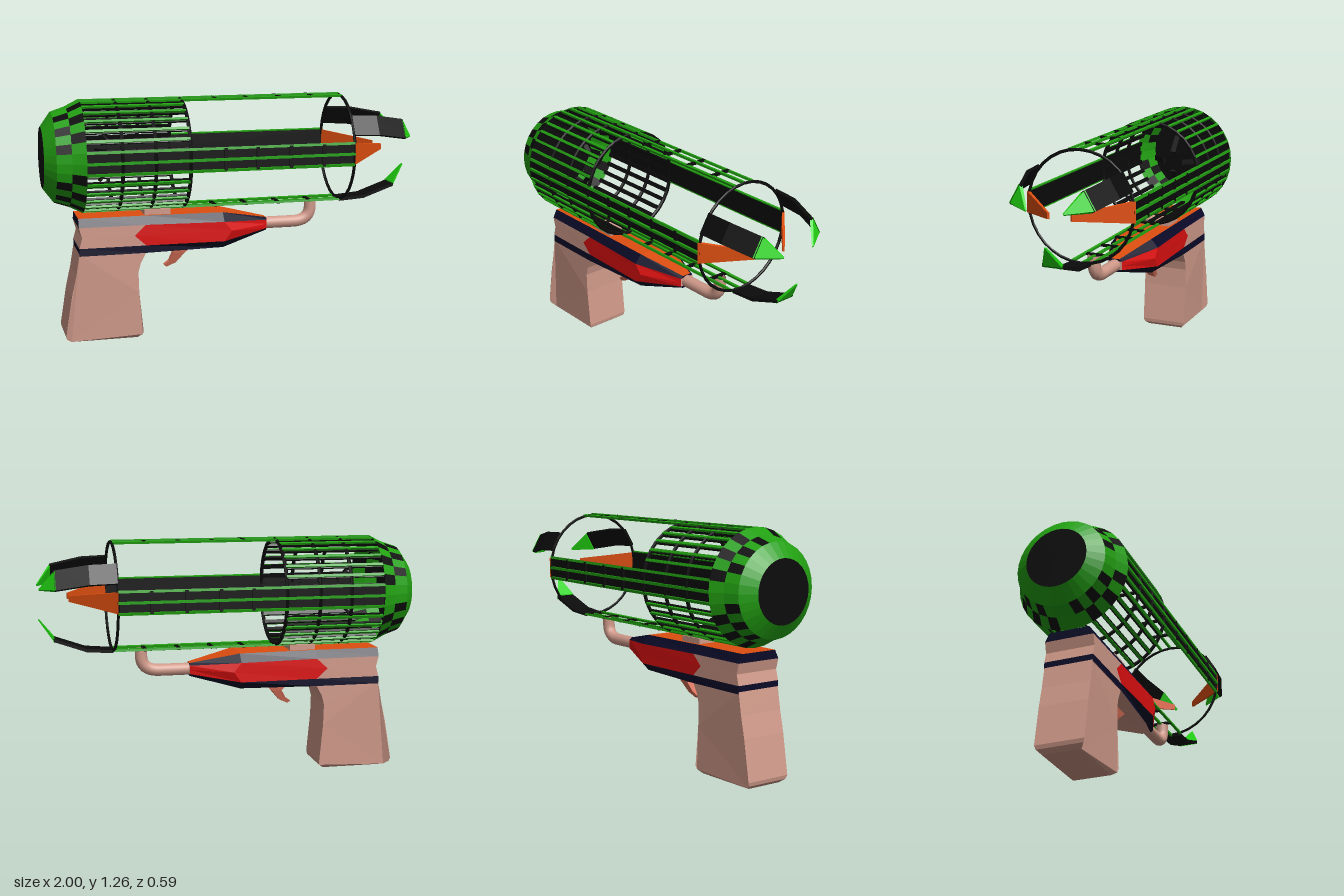
import * as THREE from 'three';

const mat = (color, flat = true) => new THREE.MeshStandardMaterial({ color, flatShading: flat, side: THREE.DoubleSide });
const GREEN = mat(0x22a012), LIME = mat(0x22d512), BLACK = mat(0x0b0b0b), ORANGE = mat(0xdd4e10);
const RED = mat(0xdd1010), NAVY = mat(0x0a0a28), PINK = mat(0xd09a8a), SALMON = mat(0xd87058);
const PINK_SMOOTH = mat(0xd09a8a, false);

const R = 0.295, SIDES = 32, STEP = (Math.PI * 2) / SIDES;

function add(parent, name, geometry, material) {
  const mesh = new THREE.Mesh(geometry, material);
  mesh.name = name;
  parent.add(mesh);
  return mesh;
}

// Flat-faced geometry from a list of quads (four corner arrays each)
function quadGeometry(quads) {
  const pos = [];
  for (const [a, b, c, d] of quads) pos.push(...a, ...b, ...c, ...a, ...c, ...d);
  const g = new THREE.BufferGeometry();
  g.setAttribute('position', new THREE.Float32BufferAttribute(pos, 3));
  g.computeVertexNormals();
  return g;
}

// Side profile in x/y, given a z half-width that may vary over the profile
function profileGeometry(points, halfWidth, bevel = 0) {
  const shape = new THREE.Shape(points.map(p => new THREE.Vector2(...p)));
  const g = new THREE.ExtrudeGeometry(shape, { depth: 2, steps: 1, bevelEnabled: false, curveSegments: 6 });
  const p = g.attributes.position;
  for (let i = 0; i < p.count; i++) {
    p.setZ(i, (p.getZ(i) - 1) * halfWidth(p.getX(i), p.getY(i)));
  }
  g.computeVertexNormals();
  return g;
}

// Group turned about the barrel axis, so parts can be built at the top
function spoke(parent, name, angle) {
  const g = new THREE.Group();
  g.name = name;
  g.rotation.x = angle;
  parent.add(g);
  return g;
}

function bar(parent, name, x0, x1, y, h, w, material) {
  const m = add(parent, name, new THREE.BoxGeometry(x1 - x0, h, w), material);
  m.position.set((x0 + x1) / 2, y, 0);
}

function makeDome(parent) {
  const profile = [[-1, 0.16], [-0.945, 0.235], [-0.87, 0.26], [-0.8, R]];
  const at = ([x, r], k) => [x, r * Math.cos(k * STEP), r * Math.sin(k * STEP)];
  const green = [], black = [];
  for (let b = 0; b < 3; b++) {
    for (let k = 0; k < SIDES; k++) {
      const onRail = k % 8 === 0 || k % 8 === 7;
      const isGreen = b === 0 || onRail || (k + b) % 2 === 0;
      (isGreen ? green : black).push([at(profile[b], k), at(profile[b], k + 1), at(profile[b + 1], k + 1), at(profile[b + 1], k)]);
    }
  }
  add(parent, 'domeGreenPanels', quadGeometry(green), GREEN);
  add(parent, 'domeBlackPanels', quadGeometry(black), BLACK);
  for (const [x, r] of [[-1, 0.16], [-0.935, 0.235]]) {
    const disc = add(parent, 'domeDisc', new THREE.CircleGeometry(r, SIDES), BLACK);
    disc.rotation.y = -Math.PI / 2;
    disc.position.x = x;
  }
}

function makeCage(parent) {
  // Lengthwise bars; three at each quarter run on to the front ring
  for (let k = 0; k < SIDES; k++) {
    const s = spoke(parent, 'cageBar', k * STEP);
    const long = [0, 1, 7].includes(k % 8);
    bar(s, 'barOuter', -0.8, long ? 0.61 : -0.27, R - 0.006, 0.012, 0.014, GREEN);
    bar(s, 'barInner', -0.8, -0.27, R - 0.017, 0.012, 0.022, BLACK);
  }
  // Hoops round the cage and across the long rails
  const hoop = (x, tube) => {
    const t = add(parent, 'cageHoop', new THREE.TorusGeometry(R - 0.01, tube, 6, SIDES), BLACK);
    t.rotation.y = Math.PI / 2;
    t.position.x = x;
  };
  [-0.62, -0.45, -0.27].forEach(x => hoop(x, 0.01));
  hoop(0.61, 0.008);
  for (let q = 0; q < 4; q++) {
    const rail = spoke(parent, 'longRail', (q * Math.PI) / 2);
    for (const x of [-0.09, 0.08, 0.26, 0.44]) bar(rail, 'railTie', x - 0.009, x + 0.009, R - 0.01, 0.012, 0.116, BLACK);
    if (q % 2) bar(rail, 'railBacking', -0.8, 0.61, R - 0.015, 0.006, 0.112, BLACK);
    // Short prongs inside the cage
    const prong = spoke(parent, 'innerProng', (q * Math.PI) / 2);
    const p = add(prong, 'prong', new THREE.BoxGeometry(0.11, 0.012, 0.03), BLACK);
    p.position.set(-0.665, 0.095, 0);
    p.rotation.z = -0.85;
  }
}

function makeClaws(parent) {
  const arm = [[0.61, 0.295], [0.75, 0.285], [0.92, 0.225], [0.92, 0.208], [0.75, 0.268], [0.61, 0.28]];
  const tip = [[0.915, 0.23], [0.995, 0.115], [0.99, 0.11], [0.915, 0.205]];
  for (const a of [Math.PI, Math.PI / 3, -Math.PI / 3]) {
    const claw = spoke(parent, 'claw', a);
    add(claw, 'clawArm', profileGeometry(arm, () => 0.055), BLACK);
    add(claw, 'clawTip', profileGeometry(tip, x => 0.002 + 0.053 * Math.max(0, (0.995 - x) / 0.08)), LIME);
  }
  // Tapered plates pointing inward from the side rails
  const plate = [[0.61, 0.295], [0.84, 0.065], [0.835, 0.055], [0.61, 0.275]];
  for (const a of [Math.PI / 2, -Math.PI / 2]) {
    add(spoke(parent, 'sidePlate', a), 'plate', profileGeometry(plate, x => 0.055 - 0.04 * (x - 0.61) / 0.23), ORANGE);
  }
}

function makeBody(parent) {
  // Stations: edge x, middle x, five heights top to bottom, three half-widths
  const stations = [
    [-0.83, -0.815, [0.66, 0.615, 0.56, 0.505, 0.465], [0, 0, 0]],
    [-0.83, -0.815, [0.66, 0.615, 0.56, 0.505, 0.465], [0.105, 0.128, 0.13]],
    [-0.48, -0.54, [0.66, 0.615, 0.56, 0.505, 0.465], [0.105, 0.13, 0.13]],
    [-0.06, -0.02, [0.655, 0.61, 0.56, 0.505, 0.465], [0.1, 0.138, 0.1]],
    [0.2, 0.2, [0.6, 0.588, 0.565, 0.542, 0.53], [0.025, 0.04, 0.025]],
    [0.2, 0.2, [0.6, 0.588, 0.565, 0.542, 0.53], [0, 0, 0]],
  ].map(([xe, xm, y, [wt, wm, wb]]) => [
    [xe, y[0], 0], [xe, y[0], wt], [xe, y[1], wm], [xm, y[2], wm], [xe, y[3], wm], [xe, y[4], wb], [xe, y[4], 0],
  ]);
  const bands = [['bodyTop', ORANGE], ['upperStripe', NAVY], ['bodySide', PINK], ['bodySide', PINK], ['lowerStripe', NAVY], ['bodyUnderside', PINK]];
  bands.forEach(([name, material], r) => {
    const plain = [], inset = [];
    for (let s = 0; s < stations.length - 1; s++) {
      const a = [stations[s][r], stations[s][r + 1], stations[s + 1][r + 1], stations[s + 1][r]];
      const mirrored = a.map(([x, y, z]) => [x, y, -z]).reverse();
      const list = (r === 2 || r === 3) && (s === 2 || s === 3) ? inset : plain;
      list.push(a, mirrored);
    }
    add(parent, name, quadGeometry(plain), material);
    if (inset.length) add(parent, 'redSidePanel', quadGeometry(inset), RED);
  });

  // Pad joining body and cage
  const pad = add(parent, 'mountPad', new THREE.BoxGeometry(0.14, 0.04, 0.18), PINK);
  pad.position.set(-0.41, 0.668, 0);

  // Grip, narrowed at the foot
  const grip = [[-0.83, 0.475], [-0.85, 0.36], [-0.875, 0.25], [-0.91, 0.04], [-0.905, 0.02], [-0.88, 0], [-0.53, 0],
    [-0.503, 0.02], [-0.5, 0.04], [-0.52, 0.25], [-0.523, 0.36], [-0.51, 0.41], [-0.475, 0.475]];
  add(parent, 'grip', profileGeometry(grip, (x, y) => (y < 0.01 ? 0.1 : y < 0.03 ? 0.12 : 0.127)), PINK);

  // Trigger, narrowing to its tip
  const trigger = [[-0.35, 0.475], [-0.31, 0.43], [-0.335, 0.385], [-0.365, 0.365], [-0.35, 0.352], [-0.3, 0.375], [-0.255, 0.43], [-0.2, 0.475]];
  add(parent, 'trigger', profileGeometry(trigger, (x, y) => 0.008 + 0.034 * Math.min(1, (y - 0.35) / 0.11)), SALMON);

  // Bent pipe up to the cage
  const path = new THREE.CurvePath();
  const v = (x, y) => new THREE.Vector3(x, y, 0);
  path.add(new THREE.LineCurve3(v(0.18, 0.565), v(0.36, 0.565)));
  path.add(new THREE.CubicBezierCurve3(v(0.36, 0.565), v(0.42, 0.565), v(0.455, 0.59), v(0.457, 0.64)));
  path.add(new THREE.LineCurve3(v(0.457, 0.64), v(0.457, 0.685)));
  add(parent, 'pipe', new THREE.TubeGeometry(path, 24, 0.033, 12), PINK_SMOOTH);
}

export function createModel() {
  const model = new THREE.Group();
  model.name = 'toyBlaster';
  const barrel = new THREE.Group();
  barrel.name = 'barrel';
  barrel.position.y = 0.97;
  model.add(barrel);
  makeDome(barrel);
  makeCage(barrel);
  makeClaws(barrel);
  const body = new THREE.Group();
  body.name = 'body';
  model.add(body);
  makeBody(body);
  return model;
}
